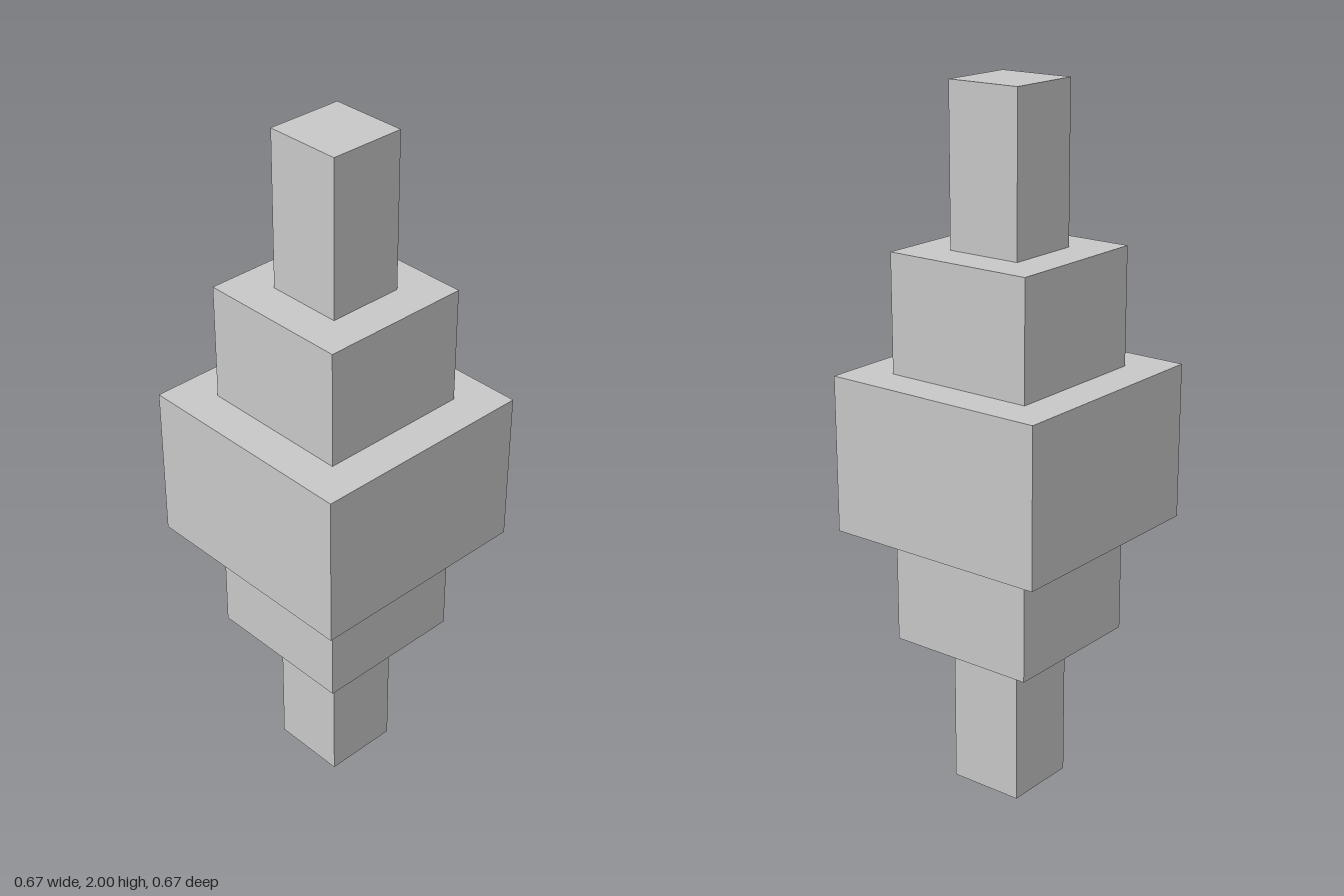
import * as THREE from 'three';

export function createModel() {
  const model = new THREE.Group();
  model.name = 'steppedColumn';
  const grey = new THREE.MeshStandardMaterial({ color: 0xc8c8c8 });
  grey.name = 'lightGrey';

  // Square blocks stacked from the ground up: name, width, height
  const unit = 1 / 9;
  const blocks = [
    ['lowerPost', 2, 4],
    ['lowerStep', 4, 3],
    ['middleBlock', 6, 4],
    ['upperStep', 4, 3],
    ['upperPost', 2, 4],
  ];

  let base = 0;
  for (const [name, width, height] of blocks) {
    const geometry = new THREE.BoxGeometry(width * unit, height * unit, width * unit);
    const block = new THREE.Mesh(geometry, grey);
    block.name = name;
    block.position.y = (base + height / 2) * unit;
    model.add(block);
    base += height;
  }
  return model;
}
